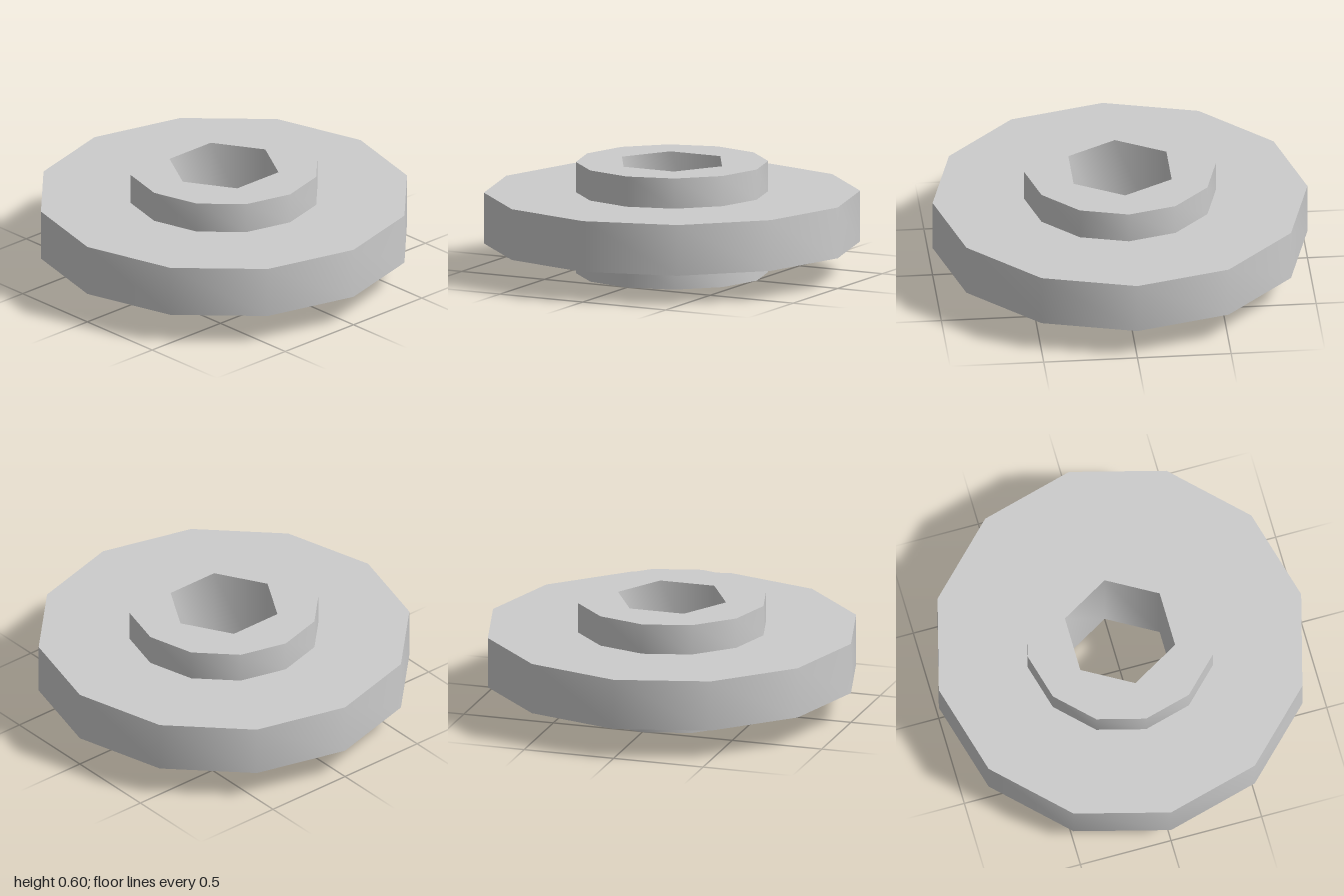
import * as THREE from 'three';
import { toCreasedNormals } from 'three/addons/utils/BufferGeometryUtils.js';

const HEIGHT = 0.6, DISC_BOTTOM = 0.163, DISC_TOP = 0.437;
const DISC_R = 1, HUB_R = 0.511, BORE_R = 0.302;
const SIDES = 12, BORE_SIDES = 6;
const CREASE = 1.2; // smooth around the sides, sharp at the rims

// Points of a regular polygon with a corner on the z axis
function polygon(radius, sides) {
  return Array.from({ length: sides }, (_, i) => {
    const a = (i / sides) * Math.PI * 2;
    return new THREE.Vector2(radius * Math.sin(a), radius * Math.cos(a));
  });
}

// Faceted surface of revolution from [radius, height] pairs
function turned(profile, sides) {
  const points = profile.map(([r, y]) => new THREE.Vector2(r, y));
  return toCreasedNormals(new THREE.LatheGeometry(points, sides), CREASE);
}

export function createModel() {
  const model = new THREE.Group();
  model.name = 'hubbedDisc';
  const grey = new THREE.MeshStandardMaterial({ color: 0xcccccc });
  grey.name = 'grey';

  function add(name, geometry) {
    const mesh = new THREE.Mesh(geometry, grey);
    mesh.name = name;
    model.add(mesh);
    return mesh;
  }

  // Hub walls and disc in one stepped outline
  add('discAndHub', turned([
    [HUB_R, 0], [HUB_R, DISC_BOTTOM],
    [DISC_R, DISC_BOTTOM], [DISC_R, DISC_TOP],
    [HUB_R, DISC_TOP], [HUB_R, HEIGHT],
  ], SIDES));

  // Hexagonal bore, facing inwards
  add('hexBore', turned([[BORE_R, HEIGHT], [BORE_R, 0]], BORE_SIDES));

  // End faces of the hub around the bore
  const face = new THREE.Shape(polygon(HUB_R, SIDES));
  face.holes.push(new THREE.Path(polygon(BORE_R, BORE_SIDES)));
  const top = add('hubTopFace', new THREE.ShapeGeometry(face));
  top.rotation.x = -Math.PI / 2;
  top.position.y = HEIGHT;
  const bottom = add('hubBottomFace', new THREE.ShapeGeometry(face));
  bottom.rotation.x = Math.PI / 2;

  return model;
}
